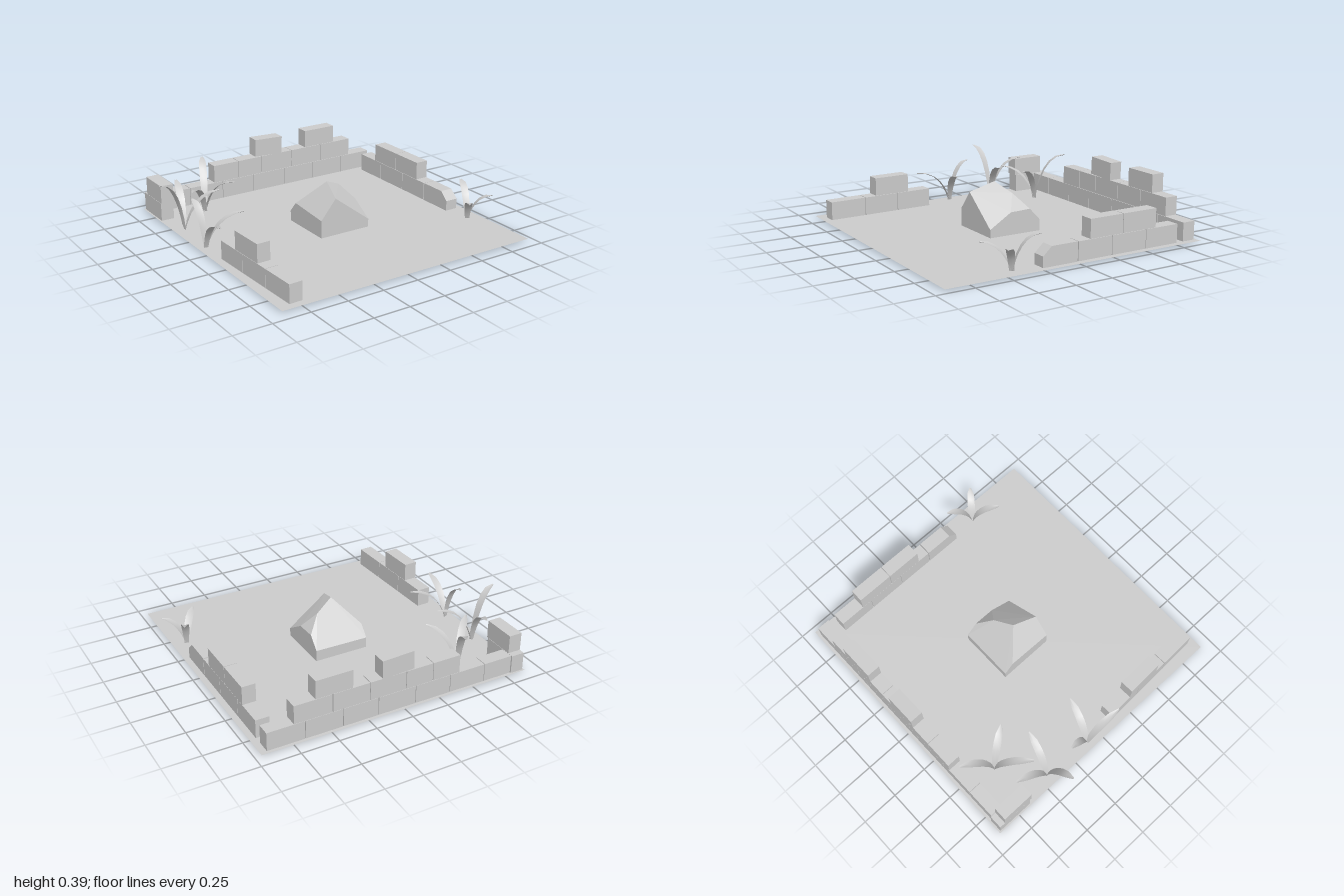
import * as THREE from 'three';
import { ConvexGeometry } from 'three/addons/geometries/ConvexGeometry.js';

const stone = new THREE.MeshStandardMaterial({ color: 0xcccccc, flatShading: true });
const thin = new THREE.MeshStandardMaterial({ color: 0xcccccc, side: THREE.DoubleSide });
const BASE = 0.01, ROW = 0.125, DEPTH = 0.09, GAP = 0.004;

function add(parent, name, geometry, material = stone) {
  const mesh = new THREE.Mesh(geometry, material);
  mesh.name = name;
  parent.add(mesh);
  return mesh;
}

// Bricks along local x, from one position to the next, in the given row
function course(parent, row, joints) {
  for (let i = 0; i < joints.length - 1; i++) {
    const a = joints[i], b = joints[i + 1];
    const brick = add(parent, 'brick', new THREE.BoxGeometry(b - a - GAP, ROW - 0.002, DEPTH));
    brick.position.set((a + b) / 2, BASE + ROW * (row + 0.5), 0);
  }
}

function wall(parent, name, x, z, angle) {
  const group = new THREE.Group();
  group.name = name;
  group.position.set(x, 0, z);
  group.rotation.y = angle;
  parent.add(group);
  return group;
}

// Folded, arching blade that narrows to its tip
function bladeGeometry(base, tip) {
  const out = tip.clone().sub(base);
  const curve = new THREE.CubicBezierCurve3(
    base,
    new THREE.Vector3(base.x + out.x * 0.12, tip.y * 0.5, base.z + out.z * 0.12),
    new THREE.Vector3(base.x + out.x * 0.4, tip.y * 1.0, base.z + out.z * 0.4),
    tip);
  const side = new THREE.Vector3(-out.z, 0, out.x).normalize();
  const widths = [0.014, 0.018, 0.022, 0.025, 0.025, 0.022, 0.006];
  const positions = [], index = [];
  widths.forEach((w, i) => {
    const p = curve.getPoint(i / (widths.length - 1));
    for (const s of [-1, 0, 1]) {
      const q = p.clone().addScaledVector(side, s * w);
      positions.push(q.x, Math.max(0, q.y - (s === 0 ? 0.005 : 0)), q.z);
    }
    if (i === 0) return;
    for (const k of [0, 1]) {
      const a = (i - 1) * 3 + k, b = a + 3;
      index.push(a, a + 1, b, a + 1, b + 1, b);
    }
  });
  const g = new THREE.BufferGeometry();
  g.setAttribute('position', new THREE.Float32BufferAttribute(positions, 3));
  g.setIndex(index);
  g.computeVertexNormals();
  return g;
}

export function createModel() {
  const model = new THREE.Group();
  model.name = 'ruinedWalls';

  // Ground sheet
  const ground = add(model, 'ground', new THREE.PlaneGeometry(1.85, 1.84).rotateX(-Math.PI / 2), thin);
  ground.position.set(0.035, BASE, 0);

  // Back wall, three broken courses
  const back = wall(model, 'backWall', 0, -0.855, 0);
  course(back, 0, [-0.79, -0.585, -0.33, -0.08, 0.18, 0.42, 0.67, 0.92]);
  course(back, 1, [-0.395, -0.2, -0.01, 0.24, 0.49, 0.745]);
  course(back, 2, [-0.06, 0.16]);
  back.children.at(-1).rotation.z = -0.04;
  course(back, 2, [0.355, 0.605]);

  // Side walls: local x runs towards -z
  const corner = wall(model, 'cornerWall', -0.835, 0, Math.PI / 2);
  course(corner, 0, [0.65, 0.91]);
  course(corner, 1, [0.64, 0.87]);

  const left = wall(model, 'leftWall', -0.78, 0.49, Math.PI / 2 + 0.035);
  course(left, 0, [-0.38, -0.125, 0.125, 0.38]);
  course(left, 1, [-0.045, 0.21]);

  const right = wall(model, 'rightWall', 0.875, 0, Math.PI / 2);
  course(right, 0, [0, 0.25, 0.51, 0.76]);
  course(right, 1, [0.085, 0.33, 0.585]);

  // Chipped brick at the front end of the right wall
  const chipped = new THREE.Shape([[-0.25, 0], [-GAP, 0], [-GAP, ROW], [-0.19, ROW], [-0.25, 0.07]]
    .map(([x, y]) => new THREE.Vector2(x, y + BASE)));
  add(right, 'chippedBrick', new THREE.ExtrudeGeometry(chipped, { depth: DEPTH, bevelEnabled: false })
    .translate(0, 0, -DEPTH / 2));

  // Faceted boulder
  const boulder = [
    [0, 0.322, 0.02], [-0.04, 0.262, 0.185], [-0.15, 0.13, 0.185], [-0.15, 0.154, -0.125],
    [0.13, 0.262, -0.035], [-0.15, 0.081, -0.19], [0.22, 0.086, -0.19], [0.22, 0.165, -0.115],
    [0.22, 0.16, 0.03], [0.22, 0.065, 0.185],
    [-0.15, BASE, -0.19], [0.22, BASE, -0.19], [-0.15, BASE, 0.185], [0.22, BASE, 0.185],
  ];
  add(model, 'boulder', new ConvexGeometry(boulder.map((p) => new THREE.Vector3(...p))));

  // Grass tufts: base x, z and the tips of three blades
  const tufts = [
    [-0.55, -0.66, [[-0.46, 0.33, -0.86], [-0.42, 0.25, -0.475], [-0.73, 0.24, -0.48]]],
    [-0.815, -0.44, [[-0.76, 0.28, -0.66], [-0.995, 0.36, -0.4], [-0.575, 0.26, -0.38]]],
    [-0.835, -0.1, [[-0.84, 0.29, -0.26], [-0.59, 0.23, -0.03], [-0.855, 0.23, 0.15]]],
    [0.865, 0.43, [[0.93, 0.23, 0.27], [0.75, 0.18, 0.58], [0.99, 0.18, 0.53]]],
  ];
  for (const [x, z, tips] of tufts) {
    const tuft = new THREE.Group();
    tuft.name = 'grassTuft';
    for (const tip of tips) {
      add(tuft, 'blade', bladeGeometry(new THREE.Vector3(x, 0, z), new THREE.Vector3(...tip)), thin);
    }
    model.add(tuft);
  }
  return model;
}
